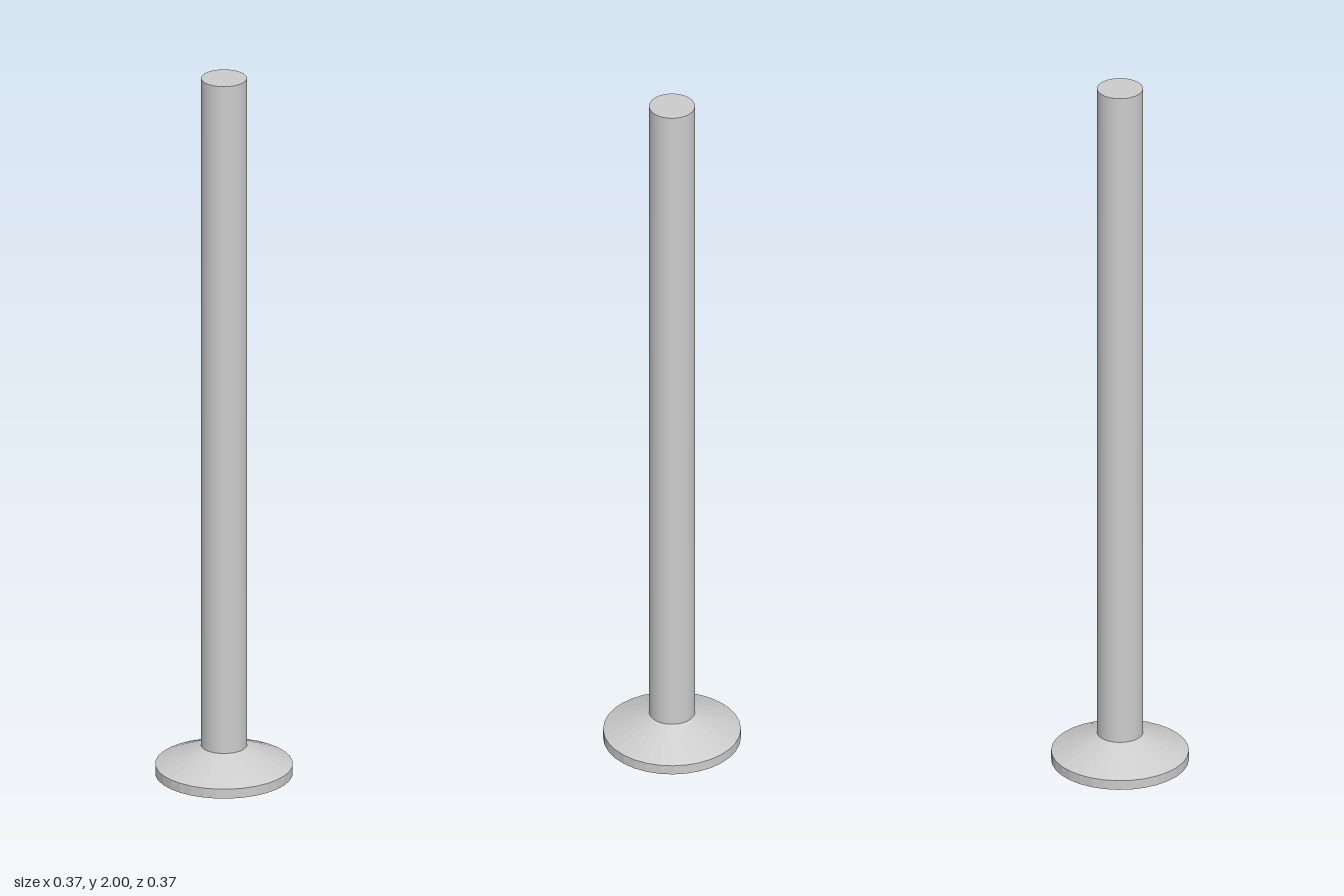
import * as THREE from 'three';

export function createModel() {
  const group = new THREE.Group();

  // Flared foot: shallow bulge underneath, recess wall, flat rim, outer edge, sloping top
  const profile = [
    [0, 0], [0.045, 0.008], [0.1, 0.021], [0.152, 0.035],
    [0.152, 0.01], [0.183, 0.01],
    [0.183, 0.037], [0.061, 0.09],
  ].map(([r, y]) => new THREE.Vector2(r, y));
  const foot = new THREE.Mesh(
    new THREE.LatheGeometry(profile, 32),
    new THREE.MeshStandardMaterial({ color: 0xcccccc, flatShading: true })
  );
  foot.name = 'foot';
  group.add(foot);

  // Tall round shaft with a flat top
  const bottom = 0.085, top = 2;
  const shaft = new THREE.Mesh(
    new THREE.CylinderGeometry(0.061, 0.061, top - bottom, 48),
    new THREE.MeshStandardMaterial({ color: 0xcccccc })
  );
  shaft.position.y = (top + bottom) / 2;
  shaft.name = 'shaft';
  group.add(shaft);

  return group;
}
